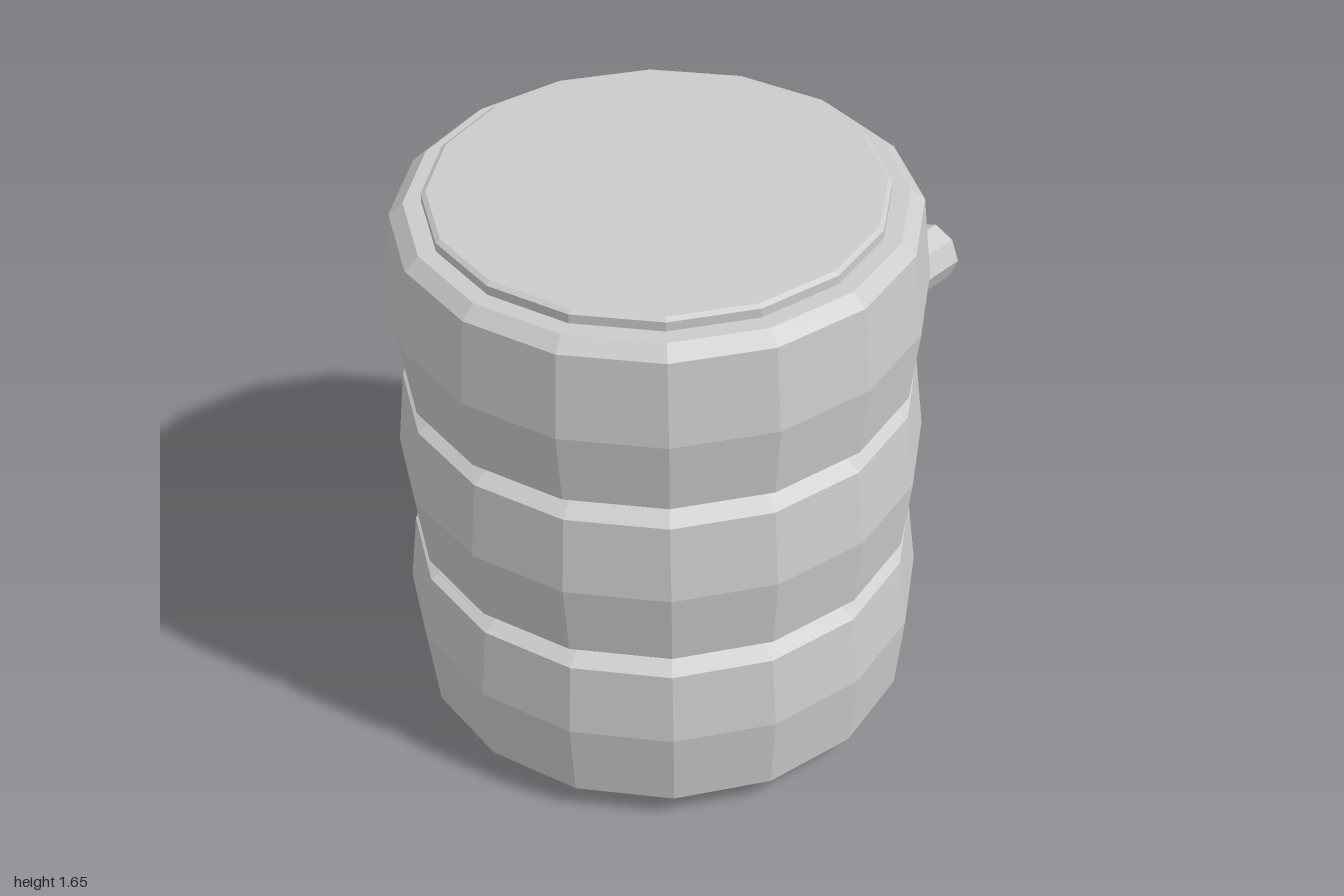
import * as THREE from 'three';

const material = new THREE.MeshStandardMaterial({ color: 0xcccccc, flatShading: true });
const AXIS_Z = 0.255; // centre of the round body

export function createModel() {
  const model = new THREE.Group();
  model.name = 'inflatedDrum';

  const add = (name, geometry) => {
    const mesh = new THREE.Mesh(geometry, material);
    mesh.name = name;
    model.add(mesh);
    return mesh;
  };

  // Sixteen-sided turned part, profile given as [radius, height] from bottom to top
  const turned = (name, profile) => {
    const points = profile.map(([r, y]) => new THREE.Vector2(r, y));
    add(name, new THREE.LatheGeometry(points, 16)).position.z = AXIS_Z;
  };

  // Three stacked bulging rings, pinched where they meet
  turned('bottomRing', [[0, 0.04], [0.68, 0.04], [0.72, 0.077], [0.745, 0.32], [0.72, 0.535], [0.664, 0.566]]);
  turned('middleRing', [[0.664, 0.566], [0.72, 0.605], [0.745, 0.828], [0.72, 1.055], [0.664, 1.09]]);
  turned('topRing', [[0.664, 1.09], [0.72, 1.123], [0.745, 1.338], [0.72, 1.583], [0.68, 1.618], [0, 1.618]]);

  // Thin end discs with a small bevel
  turned('bottomCap', [[0, 0], [0.617, 0], [0.63, 0.008], [0.63, 0.045]]);
  turned('topCap', [[0.63, 1.61], [0.63, 1.645], [0.617, 1.653], [0, 1.653]]);

  // Octagonal valve pointing backwards from the middle ring
  const valvePart = (name, radius, zStart, zEnd) => {
    const geometry = new THREE.CylinderGeometry(radius, radius, zStart - zEnd, 8);
    geometry.rotateX(-Math.PI / 2);
    add(name, geometry).position.set(0, 0.828, (zStart + zEnd) / 2);
  };
  valvePart('valveFlange', 0.127, -0.42, -0.492);
  valvePart('valveStem', 0.072, -0.45, -0.84);
  valvePart('valveTip', 0.094, -0.83, -1);

  return model;
}
